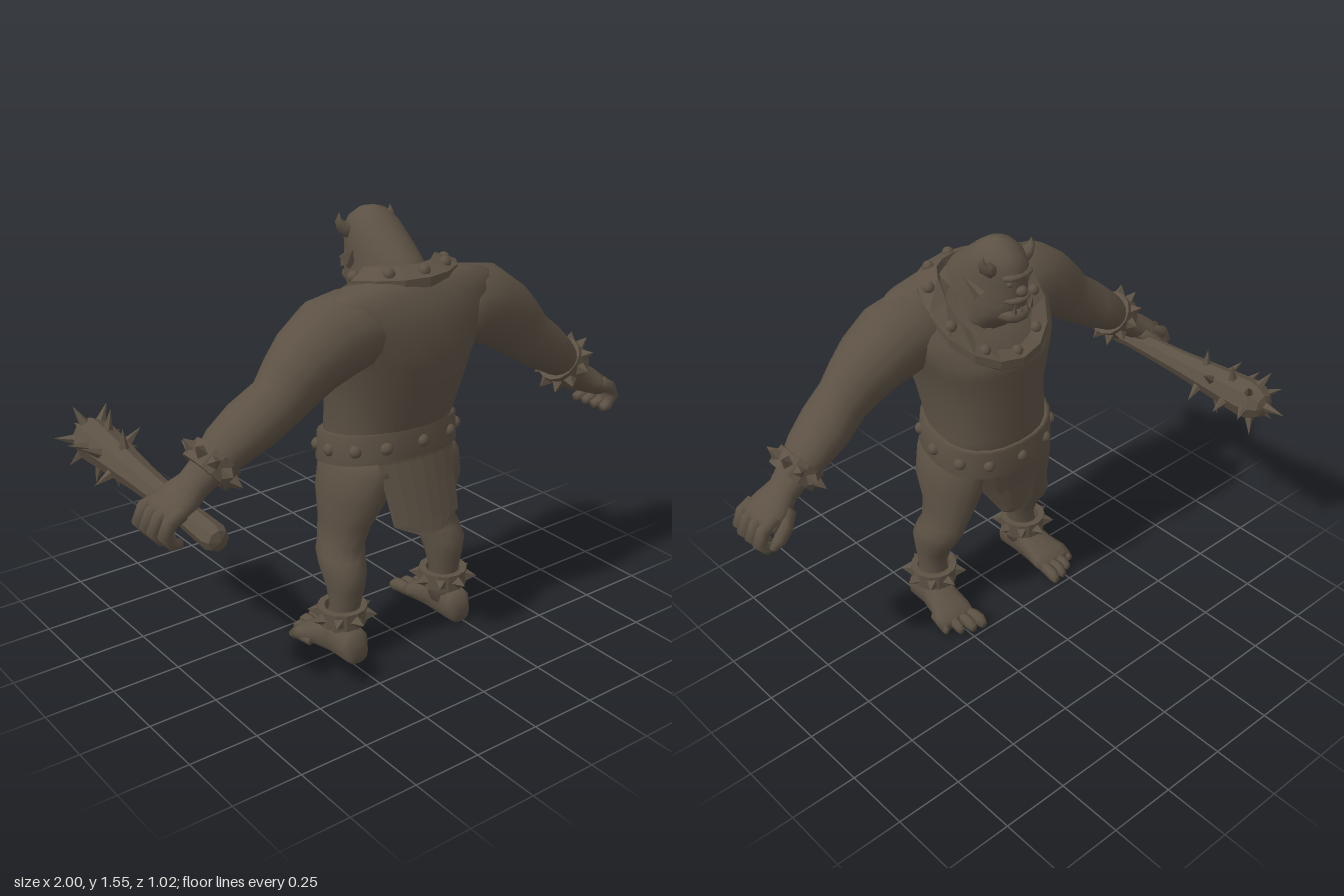
import * as THREE from 'three';

const V = (x, y, z) => new THREE.Vector3(x, y, z);
const UP = V(0, 1, 0);

// ring of points around c, spanned by u and v; p < 1 makes it boxier
function ring(c, u, v, n = 16, p = 1) {
  const f = (t) => Math.sign(t) * Math.pow(Math.abs(t), p);
  return Array.from({ length: n }, (_, i) => {
    const a = (i / n) * Math.PI * 2;
    return c.clone().addScaledVector(u, f(Math.cos(a))).addScaledVector(v, f(Math.sin(a)));
  });
}

// closed skin over a row of rings
function loft(rings) {
  const n = rings[0].length, m = rings.length, pos = [], idx = [];
  const mid = (r) => r.reduce((s, q) => s.add(q), V(0, 0, 0)).divideScalar(n);
  for (const r of rings) for (const q of r) pos.push(q.x, q.y, q.z);
  for (const r of [rings[0], rings[m - 1]]) pos.push(...mid(r).toArray());
  for (let j = 0; j < n; j++) {
    const k = (j + 1) % n;
    for (let i = 0; i < m - 1; i++) {
      const a = i * n + j, b = i * n + k;
      idx.push(a, b, a + n, b, b + n, a + n);
    }
    idx.push(n * m, k, j, n * m + 1, (m - 1) * n + j, (m - 1) * n + k);
  }
  const g = new THREE.BufferGeometry();
  g.setAttribute('position', new THREE.Float32BufferAttribute(pos, 3));
  g.setIndex(idx);
  g.computeVertexNormals();
  return g;
}

// upright body: [y, front z, back z, half width, centre x]
const stack = (s, n, p) => loft(s.map(([y, f, b, w, x = 0]) =>
  ring(V(x, y, (f + b) / 2), V(0, 0, (b - f) / 2), V(w, 0, 0), n, p)));

// limb bending in the xy plane: [x, y, z, thickness radius, z radius]
const limb = (s, n = 12) => loft(s.map(([x, y, z, a, b], i) => {
  const q = s[Math.max(i - 1, 0)], r = s[Math.min(i + 1, s.length - 1)];
  const d = V(r[0] - q[0], r[1] - q[1], 0).normalize();
  return ring(V(x, y, z), V(-d.y * a, d.x * a, 0), V(0, 0, b), n);
}));

function flat(g) {
  const f = g.index ? g.toNonIndexed() : g;
  f.computeVertexNormals();
  return f;
}

function mirrored(g) {
  const m = g.clone().applyMatrix4(new THREE.Matrix4().makeScale(-1, 1, 1));
  const src = m.index ? Array.from(m.index.array) : Array.from({ length: m.attributes.position.count }, (_, i) => i);
  for (let i = 0; i < src.length; i += 3) [src[i + 1], src[i + 2]] = [src[i + 2], src[i + 1]];
  m.setIndex(src);
  return m;
}

// cone standing at p and pointing along d
function spike(p, d, r, h, sides = 5) {
  const g = new THREE.ConeGeometry(r, h, sides).translate(0, h / 2, 0);
  g.applyQuaternion(new THREE.Quaternion().setFromUnitVectors(UP, d.clone().normalize()));
  return flat(g.translate(p.x, p.y, p.z));
}

const ball = (p, r, sx = 1, sy = 1, sz = 1) =>
  new THREE.SphereGeometry(r, 10, 8).scale(sx, sy, sz).translate(p.x, p.y, p.z);

// cuff with a row of spikes, as a list of geometries
function cuff(c, axis, r, h, count, size) {
  const prof = [[r - 0.025, -h], [r, -h], [r, h], [r - 0.025, h], [r - 0.025, -h]].map(([x, y]) => new THREE.Vector2(x, y));
  const out = [flat(new THREE.LatheGeometry(prof, 14))];
  for (let i = 0; i < count; i++) {
    const a = (i / count) * Math.PI * 2, d = V(Math.sin(a), 0, Math.cos(a));
    out.push(spike(d.clone().multiplyScalar(r - 0.005), d, size * 0.6, size, 4));
  }
  const q = new THREE.Quaternion().setFromUnitVectors(UP, axis.clone().normalize());
  return out.map((g) => g.applyQuaternion(q).translate(c.x, c.y, c.z));
}

// hanging cloth, rows from the bottom up: [y, half width, z], bowed around the body
const flap = (rows, bow) => flat(loft(rows.map(([y, w, z]) => {
  const edge = (dz) => Array.from({ length: 7 }, (_, i) => {
    const x = w * (i / 3 - 1);
    return V(x, y, z + dz + bow * x * x);
  });
  return [...edge(0.008), ...edge(-0.008).reverse()];
})));

export function createModel() {
  const model = new THREE.Group();
  model.name = 'ogre';
  const clay = new THREE.MeshStandardMaterial({ color: 0x5c5144 });
  clay.name = 'brown clay';
  const add = (name, g) => {
    const m = new THREE.Mesh(g, clay);
    m.name = name;
    model.add(m);
  };
  const pair = (name, g) => {
    add('left ' + name, g);
    add('right ' + name, mirrored(g));
  };

  // torso
  add('torso', stack([
    [0.62, 0.1, 0.36, 0.16], [0.72, 0.03, 0.385, 0.225], [0.82, 0.015, 0.39, 0.22],
    [0.95, 0.025, 0.44, 0.23], [1.08, 0.015, 0.47, 0.262], [1.14, 0.02, 0.48, 0.285],
    [1.22, 0.09, 0.475, 0.32], [1.29, 0.18, 0.458, 0.34], [1.335, 0.22, 0.43, 0.32], [1.36, 0.25, 0.41, 0.22], [1.38, 0.28, 0.38, 0.12],
  ], 24, 0.88));

  // head, leaning forward out of a thick neck
  add('head', stack([
    [1.2, 0.12, 0.38, 0.15], [1.27, 0.055, 0.39, 0.12], [1.3, 0.022, 0.385, 0.112], [1.34, 0.008, 0.38, 0.107],
    [1.38, 0.008, 0.365, 0.102], [1.42, 0.008, 0.33, 0.096], [1.47, 0.005, 0.265, 0.09],
    [1.51, 0.03, 0.215, 0.076], [1.54, 0.07, 0.17, 0.045], [1.55, 0.11, 0.13, 0.012],
  ], 20));
  add('jaw', ball(V(0, 1.302, 0.055), 0.065, 1, 0.55, 0.95));
  add('brow', ball(V(0, 1.45, 0.028), 0.065, 1, 0.25, 0.5));
  add('nose', ball(V(0, 1.395, 0.008), 0.022, 1, 0.9, 1));
  add('upper lip', ball(V(0, 1.362, 0.035), 0.055, 1, 0.3, 0.75));
  pair('eye', ball(V(0.036, 1.425, 0.026), 0.011));
  pair('tusk', spike(V(0.035, 1.325, 0.005), V(0.1, 1, -0.25), 0.01, 0.04));
  pair('tooth', spike(V(0.013, 1.328, -0.003), V(0, 1, -0.1), 0.008, 0.022));
  pair('horn', limb([[0.07, 1.47, 0.085, 0.03, 0.034], [0.095, 1.482, 0.083, 0.022, 0.026], [0.11, 1.505, 0.08, 0.012, 0.014], [0.106, 1.53, 0.078, 0.001, 0.001]], 7));
  const ear = new THREE.ConeGeometry(0.04, 0.085, 5).scale(0.45, 1, 1).rotateX(0.75).rotateZ(-0.35);
  pair('ear', flat(ear.translate(0.107, 1.4, 0.14)));

  // studded collar, dropping towards the chest
  const collarPoint = (a, k, lift) => {
    const z = 0.21 + 0.215 * Math.cos(a);
    return V(0.235 * Math.sin(a) * k, 1.365 + Math.min(0, z - 0.3) * 0.77 + lift, 0.21 + (z - 0.21) * k);
  };
  const collarRing = (k, lift) => Array.from({ length: 16 }, (_, i) => collarPoint((i / 16) * Math.PI * 2, k, lift));
  add('collar', flat(loft([collarRing(0.94, -0.03), collarRing(1, -0.02), collarRing(1, 0.012), collarRing(0.68, 0.04), collarRing(0.64, 0.015)])));
  for (let i = 0; i < 10; i++) add('collar stud', ball(collarPoint((i / 10) * Math.PI * 2, 0.84, 0.025), 0.021));

  // tilted belt with studs
  const beltU = V(0, 0.042, 0.203), beltV = V(0.25, 0, 0);
  add('belt', loft([[-0.053, 0.96], [-0.052, 1], [0.052, 0.98], [0.053, 0.92]].map(([h, k]) =>
    ring(V(0, 0.765 + h, 0.205), beltU.clone().multiplyScalar(k), beltV.clone().multiplyScalar(k), 24, 0.85))));
  for (const p of ring(V(0, 0.765, 0.205), beltU.clone().multiplyScalar(0.96), beltV.clone().multiplyScalar(0.97), 12, 0.85)) add('belt stud', ball(p, 0.023));

  // loincloth flaps
  add('front flap', flap([[0.455, 0.02, 0.045], [0.475, 0.06, 0.043], [0.57, 0.12, 0.04], [0.66, 0.16, 0.022], [0.74, 0.18, 0.012]], 2.2));
  add('back flap', flap([[0.49, 0.05, 0.465], [0.53, 0.135, 0.452], [0.64, 0.145, 0.42], [0.74, 0.16, 0.392], [0.8, 0.165, 0.385]], -1.2));

  // legs
  pair('leg', stack([
    [0.07, 0.19, 0.345, 0.06, 0.235], [0.14, 0.2, 0.325, 0.056, 0.23], [0.2, 0.215, 0.322, 0.056, 0.225],
    [0.27, 0.19, 0.34, 0.066, 0.222], [0.33, 0.15, 0.35, 0.074, 0.222], [0.38, 0.122, 0.33, 0.076, 0.215], [0.42, 0.115, 0.312, 0.074, 0.202],
    [0.5, 0.09, 0.33, 0.08, 0.182], [0.6, 0.065, 0.375, 0.107, 0.162], [0.7, 0.05, 0.39, 0.115, 0.135], [0.76, 0.06, 0.37, 0.1, 0.12],
  ], 16));

  // feet: [z, half width, height, centre x]
  pair('foot', loft([[0.36, 0.04, 0.07, 0.235], [0.34, 0.055, 0.115, 0.235], [0.25, 0.06, 0.14, 0.237], [0.18, 0.068, 0.1, 0.245], [0.12, 0.084, 0.07, 0.255], [0.085, 0.08, 0.05, 0.257]]
    .map(([z, w, h, x]) => ring(V(x, h / 2 + 0.003, z), V(0, h / 2, 0), V(w, 0, 0), 12, 0.75))));
  for (let i = 0; i < 4; i++) {
    const x = 0.192 + i * 0.043, z = 0.01 + i * i * 0.007, r = 0.026 - i * 0.002;
    pair('toe', loft([[z + 0.1, 0.8, 0.026], [z + 0.05, 1, 0.03], [z + 0.02, 1, 0.026], [z, 0.6, 0.018]]
      .map(([tz, k, y]) => ring(V(x + (0.01 - tz + z) * (i - 1) * 0.08, y, tz), V(0, r * k, 0), V(r * k * 0.85, 0, 0), 8, 0.8))));
  }
  for (const g of cuff(V(0.23, 0.16, 0.258), UP, 0.088, 0.03, 8, 0.042)) pair('anklet', g);

  // arms
  pair('arm', limb([
    [0.14, 1.23, 0.31, 0.115, 0.125], [0.23, 1.22, 0.31, 0.133, 0.14], [0.32, 1.2, 0.31, 0.142, 0.138],
    [0.41, 1.15, 0.315, 0.125, 0.125], [0.47, 1.1, 0.32, 0.112, 0.108], [0.53, 1.045, 0.325, 0.096, 0.094], [0.62, 0.985, 0.31, 0.09, 0.102],
    [0.7, 0.93, 0.3, 0.076, 0.092], [0.77, 0.87, 0.295, 0.056, 0.068], [0.82, 0.83, 0.29, 0.05, 0.06],
    [0.87, 0.795, 0.285, 0.052, 0.085], [0.925, 0.765, 0.285, 0.042, 0.092], [0.95, 0.75, 0.285, 0.02, 0.07],
  ], 16));
  for (const g of cuff(V(0.755, 0.885, 0.297), V(0.77, -0.63, 0), 0.088, 0.035, 10, 0.042)) pair('bracelet', g);

  // curled fingers and thumb
  for (let i = 0; i < 4; i++) {
    const z = 0.22 + i * 0.046, e = i === 3 ? -0.012 : 0;
    pair('finger', limb([[0.9, 0.79, z, 0.022, 0.021], [0.955 + e, 0.765, z, 0.026, 0.025], [0.976 + e, 0.725, z, 0.024, 0.024], [0.95 + e, 0.69, z, 0.022, 0.022], [0.91, 0.685, z, 0.016, 0.016]], 8));
  }
  pair('thumb', limb([[0.84, 0.8, 0.23, 0.026, 0.03], [0.88, 0.765, 0.195, 0.026, 0.027], [0.92, 0.73, 0.182, 0.024, 0.022], [0.945, 0.7, 0.19, 0.012, 0.012]], 8));

  // spiked club, built upright and laid along -z: [radius, length]
  const shaft = [[0, 0], [0.035, 0.01], [0.045, 0.035], [0.04, 0.25], [0.05, 0.5], [0.073, 0.8], [0.076, 0.85], [0.068, 0.89], [0.045, 0.925], [0, 0.94]];
  const clubParts = [flat(new THREE.LatheGeometry(shaft.map(([x, y]) => new THREE.Vector2(x, y)), 8))];
  [[0.63, 0.058, 3], [0.7, 0.064, 3], [0.78, 0.07, 4], [0.875, 0.068, 6]].forEach(([y, r, n], row) => {
    for (let i = 0; i < n; i++) {
      const a = (i / n) * Math.PI * 2 + row * 0.9, d = V(Math.sin(a), 0, Math.cos(a));
      clubParts.push(spike(d.clone().multiplyScalar(r - 0.01).setY(y), d.clone().setY(row === 3 ? 0.45 : 0.1), 0.02, 0.075));
    }
  });
  clubParts.push(spike(V(0, 0.92, 0), UP, 0.022, 0.1));
  const lay = new THREE.Quaternion().setFromUnitVectors(UP, V(0.03, 0.035, -1).normalize());
  clubParts.forEach((g, i) => add(i ? 'club spike' : 'club', g.applyQuaternion(lay).translate(-0.862, 0.737, 0.51)));

  return model;
}
